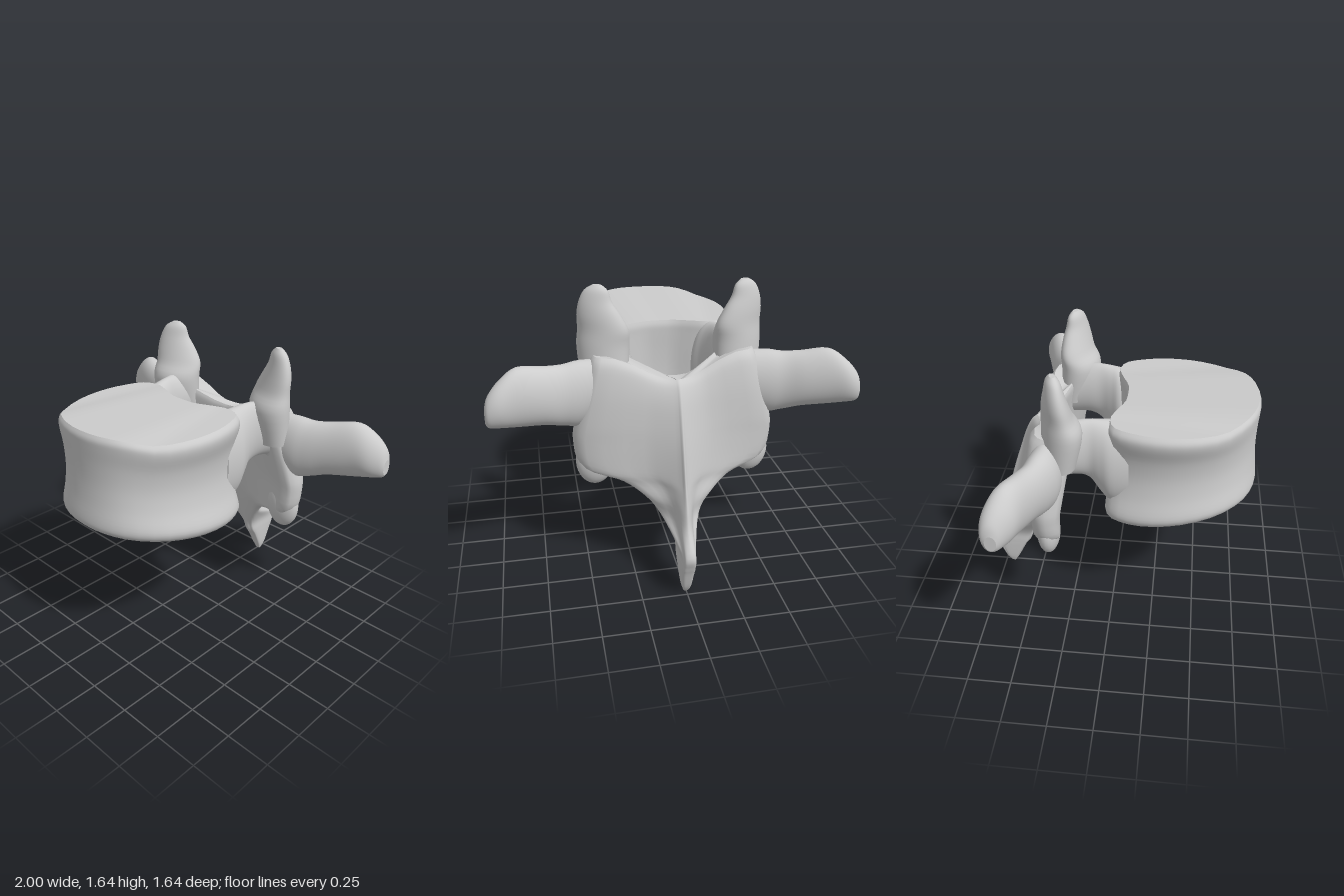
import * as THREE from 'three';

const { lerp, smoothstep } = THREE.MathUtils;
const material = new THREE.MeshStandardMaterial({ color: 0xcccccc });
const N = 48; // points around every cross-section

// Add smooth in-between stations to a table of loft stations
function refine(rows, steps = 4) {
  const out = [];
  const at = (i) => rows[Math.min(rows.length - 1, Math.max(0, i))];
  for (let i = 0; i < rows.length - 1; i++) {
    for (let s = 0; s < steps; s++) {
      const t = s / steps;
      out.push(rows[i].map((b, k) => {
        const a = at(i - 1)[k], c = rows[i + 1][k], d = at(i + 2)[k];
        return b + 0.5 * t * (c - a + t * (2 * a - 5 * b + 4 * c - d + t * (3 * (b - c) + d - a)));
      }));
    }
  }
  out.push(rows[rows.length - 1]);
  return out;
}

// Skin a list of closed rings; ends are closed with crisp ladder caps
function loft(name, rings) {
  const points = [...rings.flat(), ...rings[0], ...rings[rings.length - 1]];
  const index = [];
  const quad = (a, b, c, d) => index.push(a, b, c, a, c, d);
  for (let i = 0; i < rings.length - 1; i++) {
    for (let k = 0; k < N; k++) {
      const k2 = (k + 1) % N;
      quad(i * N + k, i * N + k2, (i + 1) * N + k2, (i + 1) * N + k);
    }
  }
  for (const end of [0, 1]) {
    const base = (rings.length + end) * N;
    for (let j = -N / 4; j < N / 4; j++) {
      const q = [j, j + 1, N / 2 - j - 1, N / 2 - j].map((v) => base + ((v + N) % N));
      quad(...(end ? q : q.reverse()));
    }
  }
  // Turn the faces outward
  let volume = 0;
  const cross = new THREE.Vector3();
  for (let i = 0; i < index.length; i += 3) {
    volume += points[index[i]].dot(cross.crossVectors(points[index[i + 1]], points[index[i + 2]]));
  }
  if (volume < 0) index.reverse();
  const geometry = new THREE.BufferGeometry().setFromPoints(points);
  geometry.setIndex(index);
  geometry.computeVertexNormals();
  const mesh = new THREE.Mesh(geometry, material);
  mesh.name = name;
  return mesh;
}

// Closed smooth outline from right-half points running from x = 0 to x = 0
function symmetricOutline(half) {
  const left = half.slice(1, -1).reverse().map(([x, z]) => [-x, z]);
  const pts = [...half, ...left].map(([x, z]) => new THREE.Vector3(x, 0, z));
  return new THREE.CatmullRomCurve3(pts, true, 'centripetal').getPoints(N).slice(0, N);
}

function ellipse(place) {
  return Array.from({ length: N }, (_, k) => {
    const a = (k / N) * Math.PI * 2;
    return place(Math.cos(a), Math.sin(a));
  });
}

// Waisted drum with a sloping underside
function vertebralBody() {
  const outline = symmetricOutline([
    [0, 0.045], [0.09, 0.04], [0.19, 0], [0.29, -0.03], [0.38, 0], [0.43, 0.1], [0.46, 0.25],
    [0.45, 0.42], [0.39, 0.59], [0.28, 0.72], [0.15, 0.785], [0, 0.805],
  ]);
  // height fraction, x scale, z scale
  const rows = refine([
    [0, 0.93, 0.98], [0.04, 0.98, 1.02], [0.12, 1, 1.02], [0.3, 0.93, 0.99], [0.5, 0.895, 0.97],
    [0.7, 0.92, 0.97], [0.87, 0.99, 0.98], [0.95, 0.995, 0.98], [1, 0.95, 0.95],
  ]);
  return loft('vertebralBody', rows.map(([t, sx, sz]) => outline.map((p) => {
    const z = 0.38 + (p.z - 0.38) * sz;
    const bottom = 0.715 + 0.115 * Math.max(0, (z - 0.1) / 0.72) ** 1.2;
    const top = 1.335 + 0.035 * smoothstep(z, 0.58, 0.77);
    return new THREE.Vector3(p.x * sx, lerp(bottom, top, t), z);
  })));
}

// Laminae joined in the middle and drawn down into the rear spine
function posteriorArch() {
  // y, half width, ridge half width, ridge z, inner z, side front z, side back z, side lift
  const rows = refine([
    [0, 0.015, 0.01, -0.715, -0.685, -0.69, -0.71, 0],
    [0.05, 0.028, 0.02, -0.745, -0.655, -0.67, -0.73, 0],
    [0.15, 0.036, 0.028, -0.78, -0.605, -0.62, -0.75, 0],
    [0.2, 0.038, 0.03, -0.8, -0.57, -0.59, -0.77, 0],
    [0.28, 0.045, 0.028, -0.82, -0.545, -0.56, -0.75, 0],
    [0.4, 0.11, 0.025, -0.75, -0.505, -0.5, -0.56, 0],
    [0.5, 0.19, 0.022, -0.72, -0.475, -0.44, -0.52, 0],
    [0.58, 0.32, 0.02, -0.695, -0.455, -0.36, -0.46, 0],
    [0.65, 0.52, 0.02, -0.67, -0.44, -0.28, -0.42, 0],
    [0.8, 0.56, 0.02, -0.625, -0.42, -0.27, -0.42, 0],
    [0.92, 0.545, 0.02, -0.585, -0.41, -0.25, -0.43, 0],
    [1.05, 0.5, 0.02, -0.54, -0.4, -0.22, -0.435, 0.04],
    [1.13, 0.46, 0.02, -0.5, -0.39, -0.2, -0.42, 0.1],
    [1.16, 0.44, 0.02, -0.465, -0.395, -0.21, -0.39, 0.12],
  ]);
  return loft('posteriorArch', rows.map(([y, w, r, zb, zf, zl, zlb, lift]) =>
    symmetricOutline([
      [0, zb], [r, lerp(zb, zlb, 0.12)], [lerp(r, w, 0.3), lerp(zb, zlb, 0.62)], [w * 0.92, zlb],
      [w, (zl + zlb) / 2], [w * 0.92, zl], [w * 0.5, lerp(zf, zl, 0.5)], [0, zf],
    ]).map((p) => p.setY(y + lift * smoothstep(Math.abs(p.x), 0.04, 0.36)))));
}

// Paired parts of the left side
function sideParts() {
  const side = new THREE.Group();

  // z, x, y, half width, half height
  const pedicle = refine([
    [0.1, 0.3, 1.06, 0.09, 0.24], [0, 0.29, 1.07, 0.115, 0.26], [-0.06, 0.3, 1.11, 0.09, 0.23],
    [-0.12, 0.31, 1.16, 0.07, 0.185], [-0.2, 0.33, 1.175, 0.085, 0.165], [-0.32, 0.36, 1.15, 0.11, 0.16],
  ]);
  side.add(loft('pedicle', pedicle.map(([z, x, y, hx, hy]) =>
    ellipse((c, s) => new THREE.Vector3(x + hx * c, y + hy * s, z)))));

  // x, y, z, half height, half depth
  const wing = refine([
    [0.3, 1.12, -0.32, 0.13, 0.08], [0.5, 1.08, -0.345, 0.18, 0.1], [0.6, 1.08, -0.37, 0.17, 0.095],
    [0.7, 1.1, -0.41, 0.16, 0.095], [0.83, 1.12, -0.455, 0.16, 0.09], [0.92, 1.1, -0.485, 0.125, 0.085],
    [0.98, 1.07, -0.505, 0.085, 0.055], [1, 1.05, -0.505, 0.045, 0.03],
  ]);
  side.add(loft('transverseWing', wing.map(([x, y, z, hy, hz]) =>
    ellipse((c, s) => new THREE.Vector3(x, y + hy * c, z + hz * s)))));

  // y, x, z, half width, half depth: a blade turned about the vertical
  const blade = refine([
    [1.1, 0.37, -0.28, 0.13, 0.09], [1.3, 0.37, -0.255, 0.145, 0.105], [1.4, 0.37, -0.275, 0.14, 0.08],
    [1.48, 0.39, -0.28, 0.12, 0.065], [1.55, 0.405, -0.28, 0.09, 0.05],
    [1.61, 0.4, -0.283, 0.065, 0.035], [1.64, 0.395, -0.285, 0.025, 0.015],
  ]);
  const turnC = Math.cos(0.42), turnS = Math.sin(0.42);
  side.add(loft('superiorFacet', blade.map(([y, x, z, a, b]) =>
    ellipse((c, s) => new THREE.Vector3(
      x + a * c * turnC - b * s * turnS, y, z + a * c * turnS + b * s * turnC)))));

  // Rounded lobe under the lamina
  const lobe = new THREE.Mesh(new THREE.SphereGeometry(1, 24, 16), material);
  lobe.name = 'inferiorFacet';
  lobe.scale.set(0.105, 0.14, 0.065);
  lobe.position.set(0.445, 0.67, -0.345);
  side.add(lobe);
  return side;
}

export function createModel() {
  const model = new THREE.Group();
  model.name = 'vertebra';
  model.add(vertebralBody(), posteriorArch());
  for (const sign of [1, -1]) {
    const side = sideParts();
    side.name = sign > 0 ? 'leftSide' : 'rightSide';
    side.scale.x = sign;
    model.add(side);
  }
  return model;
}
